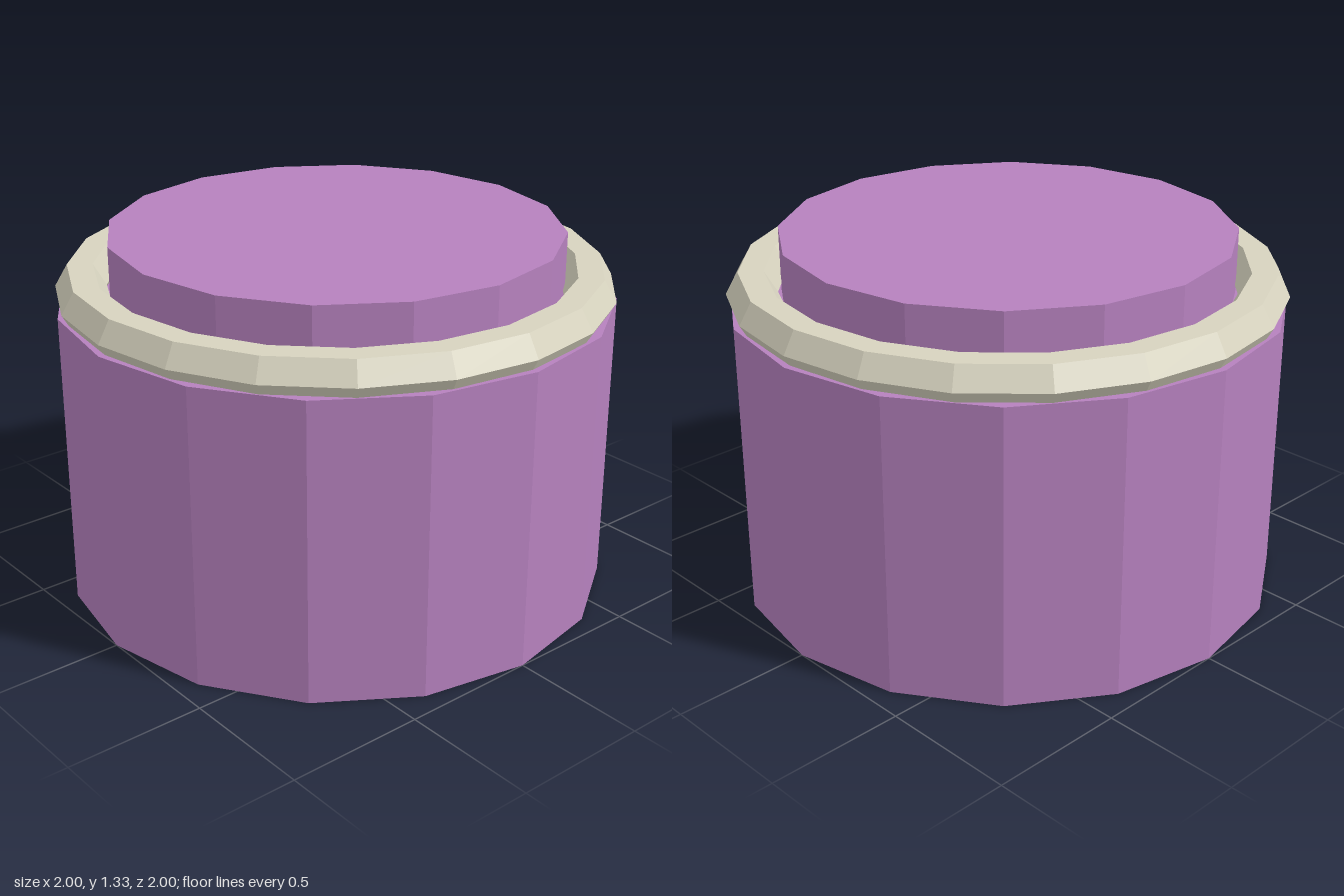
import * as THREE from 'three';

export function createModel() {
  const group = new THREE.Group();
  const purple = new THREE.MeshStandardMaterial({ name: 'purple', color: 0xb681be });
  const cream = new THREE.MeshStandardMaterial({ name: 'cream', color: 0xd7d3bf });

  const add = (name, geometry, material, y) => {
    // separate vertices give every facet its own flat normal
    const flat = geometry.toNonIndexed();
    flat.computeVertexNormals();
    const mesh = new THREE.Mesh(flat, material);
    mesh.name = name;
    mesh.position.y = y;
    group.add(mesh);
  };

  // sixteen-sided drum and the narrower lid rising out of it
  add('body', new THREE.CylinderGeometry(1, 1, 1.09, 16), purple, 0.545);
  add('lid', new THREE.CylinderGeometry(0.815, 0.815, 0.25, 16), purple, 1.205);

  // faceted ring with a hexagonal section, resting on the drum
  add('ring', new THREE.TorusGeometry(0.908, 0.091, 6, 20).rotateX(-Math.PI / 2), cream, 1.13);

  return group;
}
